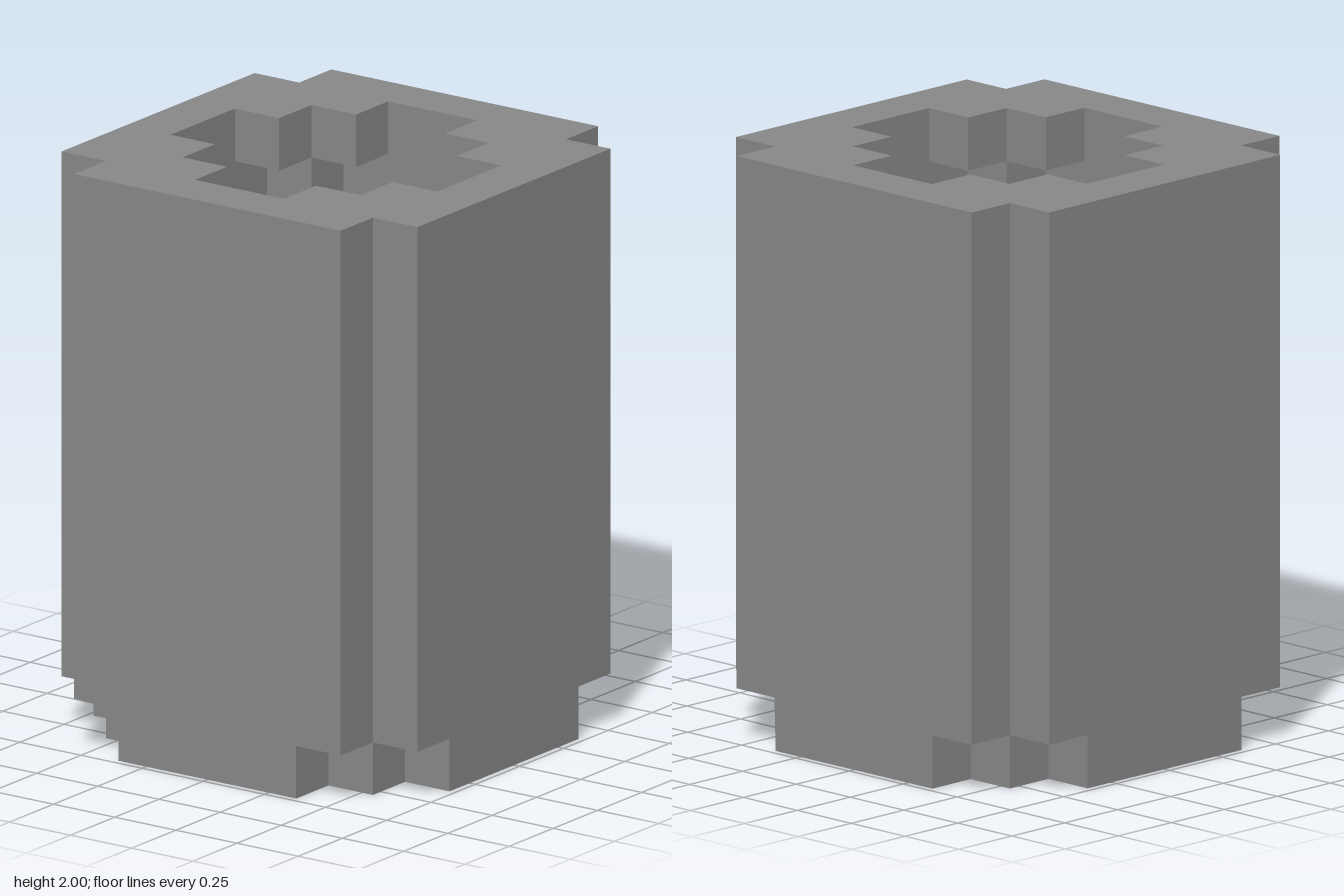
import * as THREE from 'three';

const U = 2 / 11; // one block

// Stepped outline: one corner's points, turned round the four quarters
const outline = (corner) => {
  const pts = [];
  for (let q = 0; q < 4; q++) {
    for (const [a, b] of corner) {
      const [x, y] = [[a, b], [-b, a], [-a, -b], [b, -a]][q];
      pts.push(new THREE.Vector2(x * U, y * U));
    }
  }
  return pts;
};

const BODY = [[4, 3], [3, 3], [3, 4]];
const FOOT = [[4, 2], [3, 2], [3, 3], [2, 3], [2, 4]];
const OPENING = [[3, 1], [2, 1], [2, 2], [1, 2], [1, 3]];
const CAVITY = [[3, 2], [2, 2], [2, 3]];

export function createModel() {
  const group = new THREE.Group();
  group.name = 'hollowColumn';
  const grey = new THREE.MeshStandardMaterial({ color: 0x888888 });
  grey.name = 'grey';

  const addRing = (name, outer, inner, from, to) => {
    const shape = new THREE.Shape(outline(outer));
    shape.holes.push(new THREE.Path(outline(inner)));
    const geo = new THREE.ExtrudeGeometry(shape, { depth: (to - from) * U, bevelEnabled: false });
    geo.rotateX(-Math.PI / 2);
    const mesh = new THREE.Mesh(geo, grey);
    mesh.name = name;
    mesh.position.y = from * U;
    group.add(mesh);
  };

  addRing('foot', FOOT, OPENING, 0, 1);      // notched base
  addRing('wall', BODY, CAVITY, 1, 10);      // thin tall shell
  addRing('topRim', BODY, OPENING, 10, 11);  // rim with narrower opening
  return group;
}
